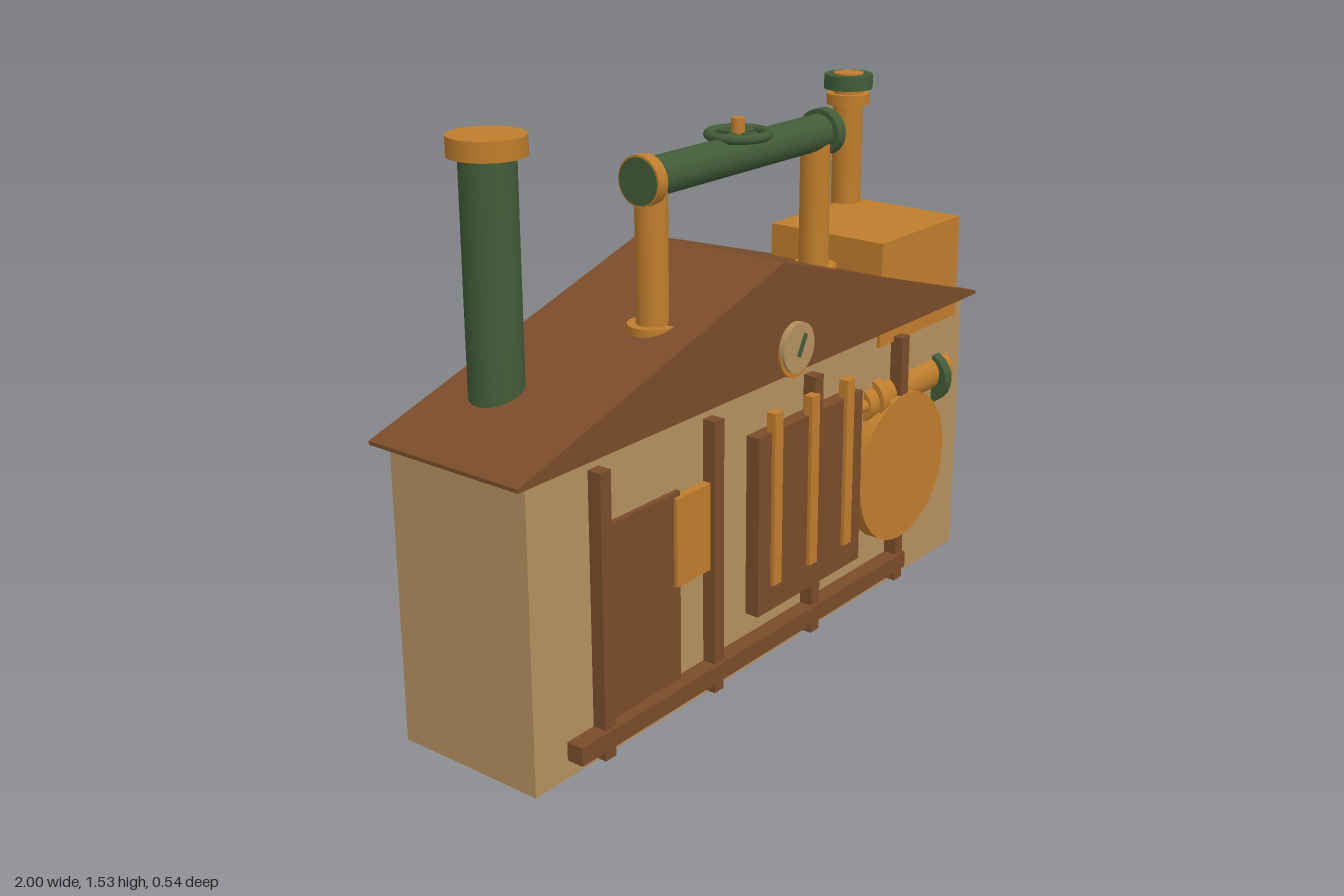
import * as THREE from 'three';

export function createModel() {
  const model = new THREE.Group();
  model.name = 'workshop';
  const mat = (name, color) => {
    const m = new THREE.MeshStandardMaterial({ color });
    m.name = name;
    return m;
  };
  const tan = mat('tan plaster', 0xb4905f);
  const copper = mat('copper', 0xbf7d2c);
  const brown = mat('brown wood', 0x7a4c2b);
  const green = mat('green metal', 0x425c38);

  const add = (name, geometry, material) => {
    const mesh = new THREE.Mesh(geometry, material);
    mesh.name = name;
    model.add(mesh);
    return mesh;
  };
  // Box given by its extents on each axis
  const box = (name, m, x0, x1, y0, y1, z0, z1) =>
    add(name, new THREE.BoxGeometry(x1 - x0, y1 - y0, z1 - z0), m)
      .position.set((x0 + x1) / 2, (y0 + y1) / 2, (z0 + z1) / 2);
  // Cylinders along y, x and z, given by radius and extent on their axis
  const cylY = (name, m, r, x, z, y0, y1) =>
    add(name, new THREE.CylinderGeometry(r, r, y1 - y0, 24), m).position.set(x, (y0 + y1) / 2, z);
  const cylX = (name, m, r, y, z, x0, x1) => {
    const c = add(name, new THREE.CylinderGeometry(r, r, x1 - x0, 24), m);
    c.rotation.z = -Math.PI / 2;
    c.position.set((x0 + x1) / 2, y, z);
  };
  const cylZ = (name, m, r, x, y, z0, z1) => {
    const c = add(name, new THREE.CylinderGeometry(r, r, z1 - z0, 32), m);
    c.rotation.x = Math.PI / 2;
    c.position.set(x, y, (z0 + z1) / 2);
  };

  // House body and gabled roof
  box('body', tan, -0.955, 0.955, 0, 0.815, -0.23, 0.215);
  const gable = new THREE.Shape([[-1, 0.81], [1, 0.81], [1, 0.82], [0, 1.125], [-1, 0.82]]
    .map(([x, y]) => new THREE.Vector2(x, y)));
  const roof = new THREE.ExtrudeGeometry(gable, { depth: 0.49, bevelEnabled: false });
  roof.translate(0, 0, -0.252);
  add('roof', roof, brown);

  // Timber posts on both long walls
  for (const x of [-0.725, -0.29, 0.15, 0.585]) {
    box('frontPost', brown, x - 0.019, x + 0.019, 0.015, 0.78, 0.2, 0.254);
    box('backPost', brown, x - 0.019, x + 0.019, 0.015, 0.78, -0.268, -0.22);
  }
  box('frontRail', brown, -0.84, 0.605, 0.05, 0.1, 0.21, 0.264);

  // Doors and shutters
  box('frontDoor', brown, -0.695, -0.42, 0.08, 0.625, 0.2, 0.23);
  box('frontShutter', copper, -0.445, -0.265, 0.37, 0.612, 0.2, 0.24);
  box('backDoor', brown, 0.37, 0.64, 0.09, 0.62, -0.245, -0.22);
  for (const x of [0.418, 0.045, -0.355])
    box('backShutter', copper, x - 0.09, x + 0.09, 0.375, 0.615, -0.256, -0.22);

  // Front panel with three bars
  box('frontPanel', brown, -0.125, 0.36, 0.165, 0.68, 0.2, 0.257);
  for (const x of [-0.052, 0.116, 0.284])
    box('panelBar', copper, x - 0.018, x + 0.018, 0.24, 0.735, 0.24, 0.268);

  // Round tank cover and the pipe beside it
  cylZ('tankCover', copper, 0.225, 0.585, 0.38, 0.2, 0.257);
  cylX('wallPipe', copper, 0.055, 0.6, 0.187, 0.43, 0.88);
  cylX('thinPipe', copper, 0.018, 0.605, 0.215, 0.34, 0.45);
  cylX('pipeCollar', copper, 0.068, 0.605, 0.187, 0.475, 0.512);
  cylX('pipeRing', green, 0.083, 0.584, 0.182, 0.8, 0.835);

  // Gauge on the gable
  cylZ('gaugeRim', copper, 0.07, 0.05, 0.87, 0.22, 0.247);
  cylZ('gaugeFace', tan, 0.069, 0.05, 0.885, 0.23, 0.256);
  const needle = add('gaugeNeedle', new THREE.BoxGeometry(0.012, 0.065, 0.006), green);
  needle.position.set(0.06, 0.89, 0.258);
  needle.rotation.z = -0.5;

  // Tall chimney
  cylY('tallChimney', green, 0.07, -0.725, -0.093, 0.8, 1.485);
  cylY('tallChimneyCap', copper, 0.097, -0.725, -0.093, 1.485, 1.535);

  // Roof box with slim chimney
  box('roofBox', copper, 0.49, 0.905, 0.765, 1.07, -0.16, 0.225);
  cylY('slimChimney', copper, 0.045, 0.858, -0.15, 0.8, 1.464);
  cylY('slimChimneyCollar', copper, 0.065, 0.858, -0.15, 1.37, 1.403);
  cylY('slimChimneyCap', green, 0.073, 0.858, -0.15, 1.417, 1.46);

  // Overhead pipe on two risers
  const pz = 0.087;
  for (const s of [-1, 1]) {
    cylY('riser', copper, 0.042, s * 0.35, pz, 0.9, 1.39);
    cylY('riserFoot', copper, 0.065, s * 0.35, pz, 0.95, 1.02);
  }
  cylX('overheadPipe', green, 0.05, 1.39, pz, -0.39, 0.39);
  cylX('leftFlange', green, 0.065, 1.388, pz, 0.362, 0.4);
  cylX('rightFlange', copper, 0.065, 1.388, pz, -0.397, -0.362);
  cylX('rightFlangeFace', green, 0.06, 1.388, pz, -0.4, -0.395);

  // Valve wheel
  const rim = add('valveWheel', new THREE.TorusGeometry(0.077, 0.013, 10, 32), green);
  rim.rotation.x = Math.PI / 2;
  rim.position.set(0, 1.442, pz);
  box('wheelSpoke', green, -0.075, 0.075, 1.437, 1.447, pz - 0.007, pz + 0.007);
  box('wheelSpoke', green, -0.007, 0.007, 1.437, 1.447, pz - 0.075, pz + 0.075);
  cylY('valveStem', copper, 0.018, 0, pz, 1.42, 1.485);

  return model;
}
